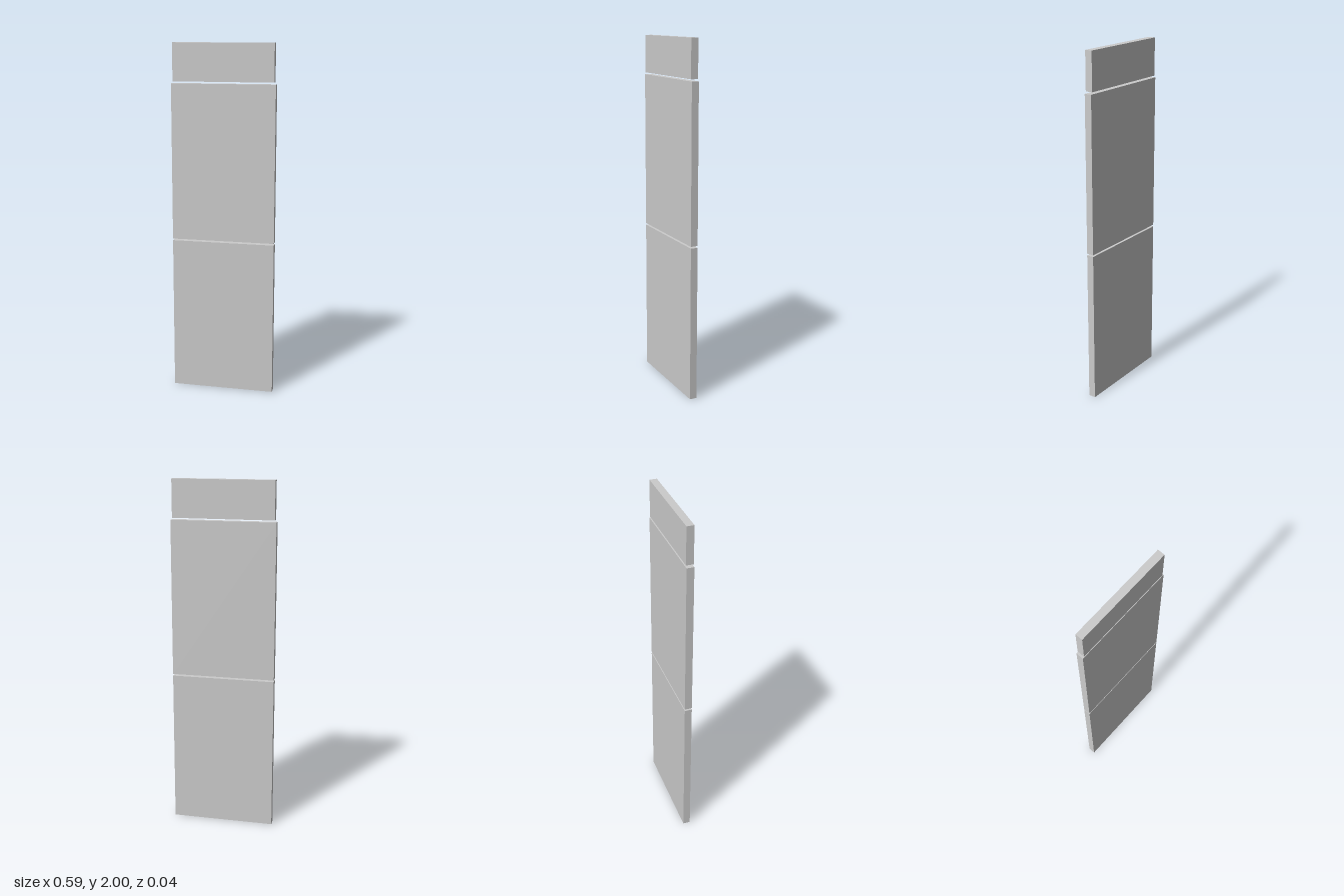
import * as THREE from 'three';

export function createModel() {
  const group = new THREE.Group();
  const material = new THREE.MeshStandardMaterial({ color: 0xcccccc });
  const depth = 0.041;

  // Flat board spanning two heights
  function addPanel(name, width, bottom, top) {
    const panel = new THREE.Mesh(new THREE.BoxGeometry(width, top - bottom, depth), material);
    panel.name = name;
    panel.position.y = (bottom + top) / 2;
    group.add(panel);
  }

  // Two equal doors with a slightly narrower board above, separated by thin gaps
  addPanel('lowerDoor', 0.587, 0, 0.884);
  addPanel('upperDoor', 0.587, 0.894, 1.778);
  addPanel('topPanel', 0.569, 1.789, 2);

  return group;
}
